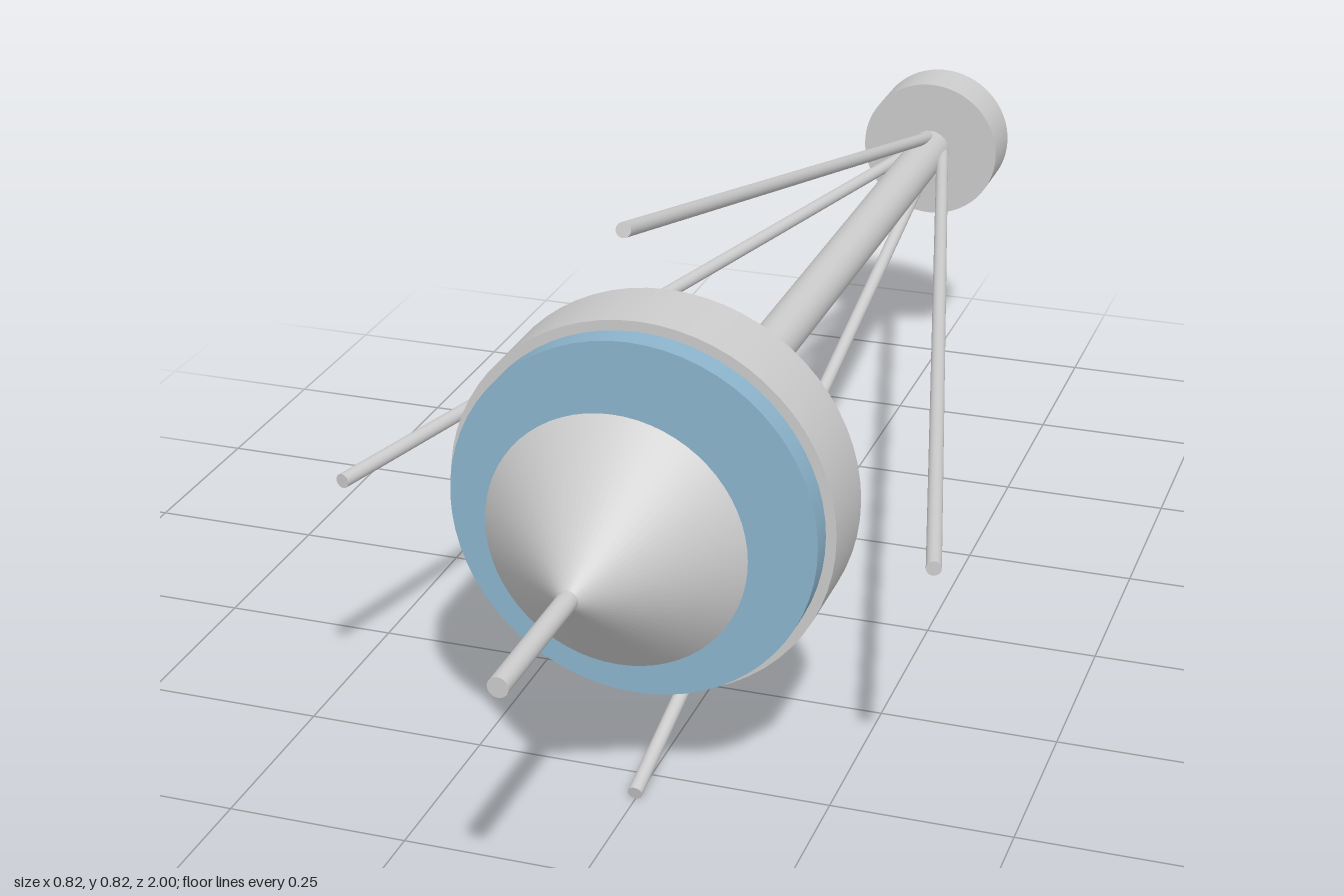
import * as THREE from 'three';

const AXIS_Y = 0.411;

export function createModel() {
  const model = new THREE.Group();
  const grey = new THREE.MeshStandardMaterial({ color: 0xcccccc });
  const blue = new THREE.MeshStandardMaterial({ color: 0x8cb4cc });

  // Round part lying along the z axis, from z0 (back) to z1 (front)
  function roundPart(name, z0, z1, rBack, rFront, material = grey, sides = 64) {
    const geometry = new THREE.CylinderGeometry(rFront, rBack, z1 - z0, sides);
    geometry.rotateX(Math.PI / 2);
    const mesh = new THREE.Mesh(geometry, material);
    mesh.name = name;
    mesh.position.set(0, AXIS_Y, (z0 + z1) / 2);
    model.add(mesh);
  }

  roundPart('rearDisc', -0.998, -0.913, 0.115, 0.115);
  roundPart('mainShaft', -0.95, 0.43, 0.033, 0.033, grey, 32);
  roundPart('frontDrum', 0.414, 0.525, 0.263, 0.263);
  roundPart('frontPlate', 0.52, 0.56, 0.249, 0.249, blue);
  roundPart('noseCone', 0.618, 0.788, 0.176, 0.006);
  roundPart('noseRod', 0.77, 1, 0.0135, 0.0135, grey, 32);

  // Four thin struts fanning out from the rear centre
  const start = new THREE.Vector3(0, AXIS_Y, -0.998);
  for (let i = 0; i < 4; i++) {
    const angle = (i * Math.PI) / 2;
    const end = new THREE.Vector3(0.4 * Math.cos(angle), AXIS_Y + 0.4 * Math.sin(angle), 0.565);
    const along = end.clone().sub(start);
    const strut = new THREE.Mesh(new THREE.CylinderGeometry(0.01, 0.01, along.length(), 24), grey);
    strut.name = 'strut' + (i + 1);
    strut.position.copy(start).add(end).multiplyScalar(0.5);
    strut.quaternion.setFromUnitVectors(new THREE.Vector3(0, 1, 0), along.normalize());
    model.add(strut);
  }
  return model;
}
